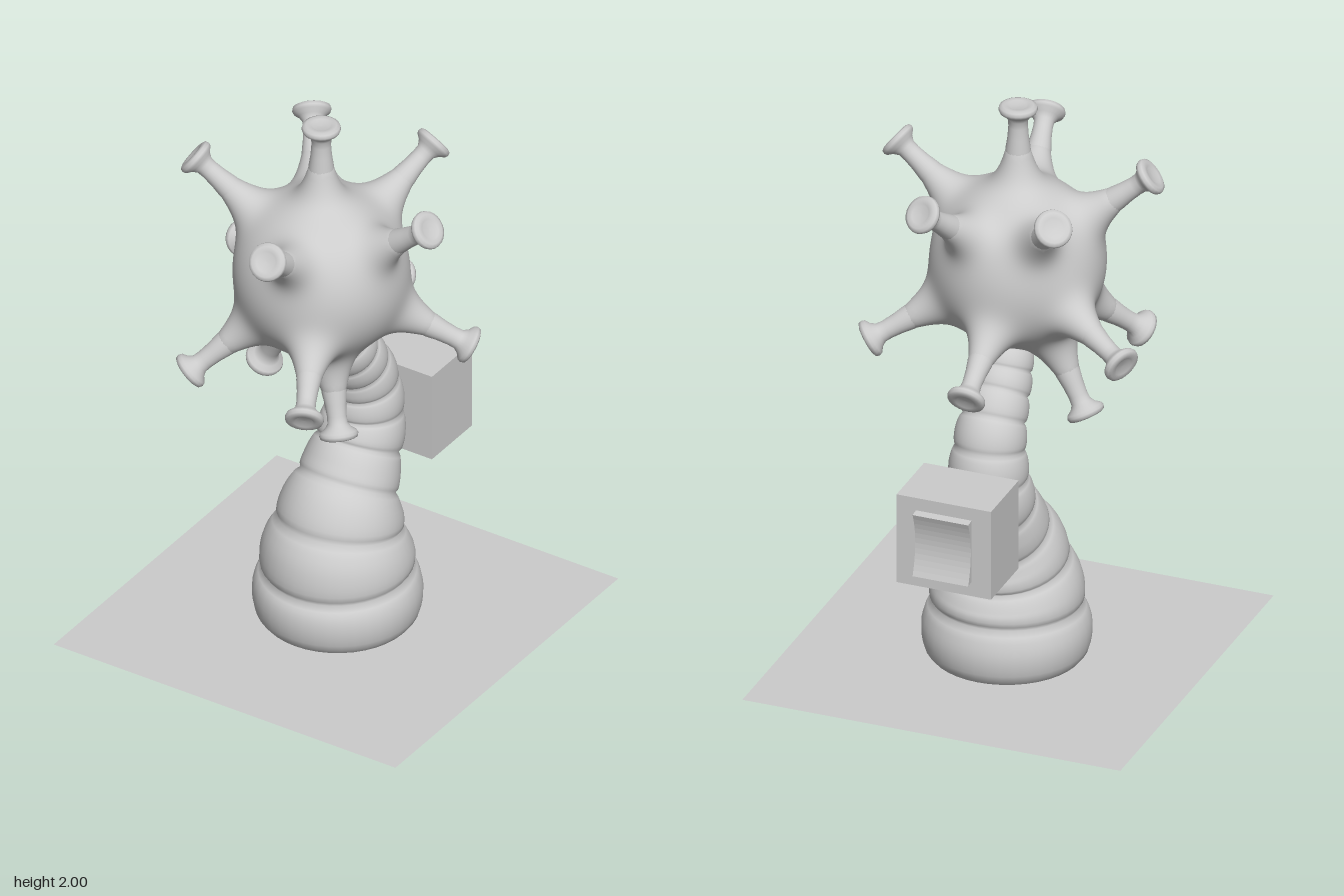
import * as THREE from 'three';
import { mergeVertices } from 'three/addons/utils/BufferGeometryUtils.js';

const grey = new THREE.MeshStandardMaterial({ color: 0xcccccc });
const greyDouble = new THREE.MeshStandardMaterial({ color: 0xcccccc, side: THREE.DoubleSide });

function add(parent, name, geometry, material = grey) {
  const mesh = new THREE.Mesh(geometry, material);
  mesh.name = name;
  parent.add(mesh);
  return mesh;
}

const centre = new THREE.Vector3(0, 1.42, 0.09);

// Cap centres of the spikes: one on top, an upper ring, a lower ring, two underneath
const spikes = [
  [0, 2, 0.09],
  [0.09, 1.75, 0.57], [0.46, 1.77, 0.13], [0.18, 1.77, -0.35], [-0.28, 1.77, -0.28], [-0.44, 1.77, 0.19],
  [0.45, 1.14, -0.15], [0.23, 1.14, 0.55], [-0.33, 1.06, 0.41], [-0.49, 1.23, -0.17], [-0.01, 1.11, -0.42],
  [0.17, 0.88, 0.24], [-0.28, 0.91, 0.02],
].map((p) => new THREE.Vector3(...p).sub(centre).normalize());

// Ball whose surface is drawn out smoothly towards every spike
function headGeometry() {
  let g = new THREE.IcosahedronGeometry(1, 40);
  g.deleteAttribute('uv');
  g.deleteAttribute('normal');
  g = mergeVertices(g, 1e-5);
  const pos = g.attributes.position;
  const v = new THREE.Vector3();
  for (let i = 0; i < pos.count; i++) {
    v.fromBufferAttribute(pos, i).normalize();
    let r = 0.295;
    for (const s of spikes) r += 0.3 * Math.exp(-v.angleTo(s) / 0.11);
    v.multiplyScalar(Math.min(r, 0.43));
    pos.setXYZ(i, v.x, v.y, v.z);
  }
  g.computeVertexNormals();
  return g;
}

// Slim stalk with a flared, slightly dished cap; y is the distance from the head's centre
function spikeGeometry() {
  const profile = [
    [0.045, 0.38], [0.042, 0.42], [0.036, 0.46], [0.033, 0.5], [0.034, 0.525], [0.045, 0.542],
    [0.062, 0.554], [0.066, 0.564], [0.063, 0.575], [0.052, 0.58], [0.035, 0.579], [0.028, 0.574], [0, 0.573],
  ];
  return new THREE.LatheGeometry(profile.map((p) => new THREE.Vector2(...p)), 24);
}

// Bent, tapering trunk made of bulging rings; each path point holds (radius, y, z)
function trunkGeometry() {
  const path = new THREE.CatmullRomCurve3([
    [0.285, 0, -0.01], [0.28, 0.14, -0.01], [0.25, 0.28, -0.01], [0.205, 0.42, -0.04], [0.165, 0.54, -0.1],
    [0.148, 0.65, -0.155], [0.135, 0.76, -0.172], [0.122, 0.87, -0.155], [0.112, 0.96, -0.11],
    [0.102, 1.05, -0.05], [0.09, 1.14, 0], [0.08, 1.25, 0.05],
  ].map((p) => new THREE.Vector3(...p)));
  const rings = 12, steps = 10, sides = 40, q = 0.9;
  const rows = rings * steps;
  const positions = [], index = [];
  for (let k = 0; k <= rows; k++) {
    const u = Math.min(1, (1 - q ** (k / steps)) / (1 - q ** rings));
    const p = path.getPointAt(u);
    const t = path.getTangentAt(u);
    const len = Math.hypot(t.y, t.z);
    const ty = k ? t.y / len : 1, tz = k ? t.z / len : 0;
    const bulge = 0.91 + 0.1 * Math.sqrt(Math.sin(Math.PI * (k % steps) / steps));
    for (let j = 0; j < sides; j++) {
      const a = (j / sides) * Math.PI * 2;
      const r = p.x * bulge;
      const side = r * Math.cos(a), depth = r * Math.sin(a);
      positions.push(side, p.y - depth * tz, p.z + depth * ty);
      if (k < rows) {
        const b = k * sides + j, c = k * sides + ((j + 1) % sides);
        index.push(b, b + sides, c, c, b + sides, c + sides);
      }
    }
  }
  const g = new THREE.BufferGeometry();
  g.setAttribute('position', new THREE.Float32BufferAttribute(positions, 3));
  g.setIndex(index);
  g.computeVertexNormals();
  return g;
}

// Rocker with a hollow outer face, drawn in (z, y) and extruded across x
function rockerGeometry() {
  const s = new THREE.Shape();
  s.moveTo(-0.56, 0.545);
  s.lineTo(-0.6, 0.54);
  s.quadraticCurveTo(-0.553, 0.655, -0.6, 0.77);
  s.lineTo(-0.56, 0.775);
  s.closePath();
  const g = new THREE.ExtrudeGeometry(s, { depth: 0.2, bevelEnabled: false, curveSegments: 12 });
  g.rotateY(-Math.PI / 2);
  g.translate(0.1, 0, 0);
  return g;
}

export function createModel() {
  const model = new THREE.Group();
  model.name = 'spikyHeadOnTrunk';

  // Ground sheet
  add(model, 'groundSheet', new THREE.PlaneGeometry(1.36, 1.36).rotateX(-Math.PI / 2), greyDouble);

  // Trunk
  add(model, 'trunk', trunkGeometry(), greyDouble);

  // Head with spikes
  const head = new THREE.Group();
  head.name = 'head';
  head.position.copy(centre);
  model.add(head);
  add(head, 'headBody', headGeometry());
  const spike = spikeGeometry();
  const up = new THREE.Vector3(0, 1, 0);
  for (const dir of spikes) add(head, 'spike', spike).quaternion.setFromUnitVectors(up, dir);

  // Switch box behind the trunk
  const box = new THREE.Group();
  box.name = 'switchBox';
  model.add(box);
  add(box, 'boxBody', new THREE.BoxGeometry(0.34, 0.33, 0.245)).position.set(0, 0.655, -0.4475);
  add(box, 'rocker', rockerGeometry());

  return model;
}
